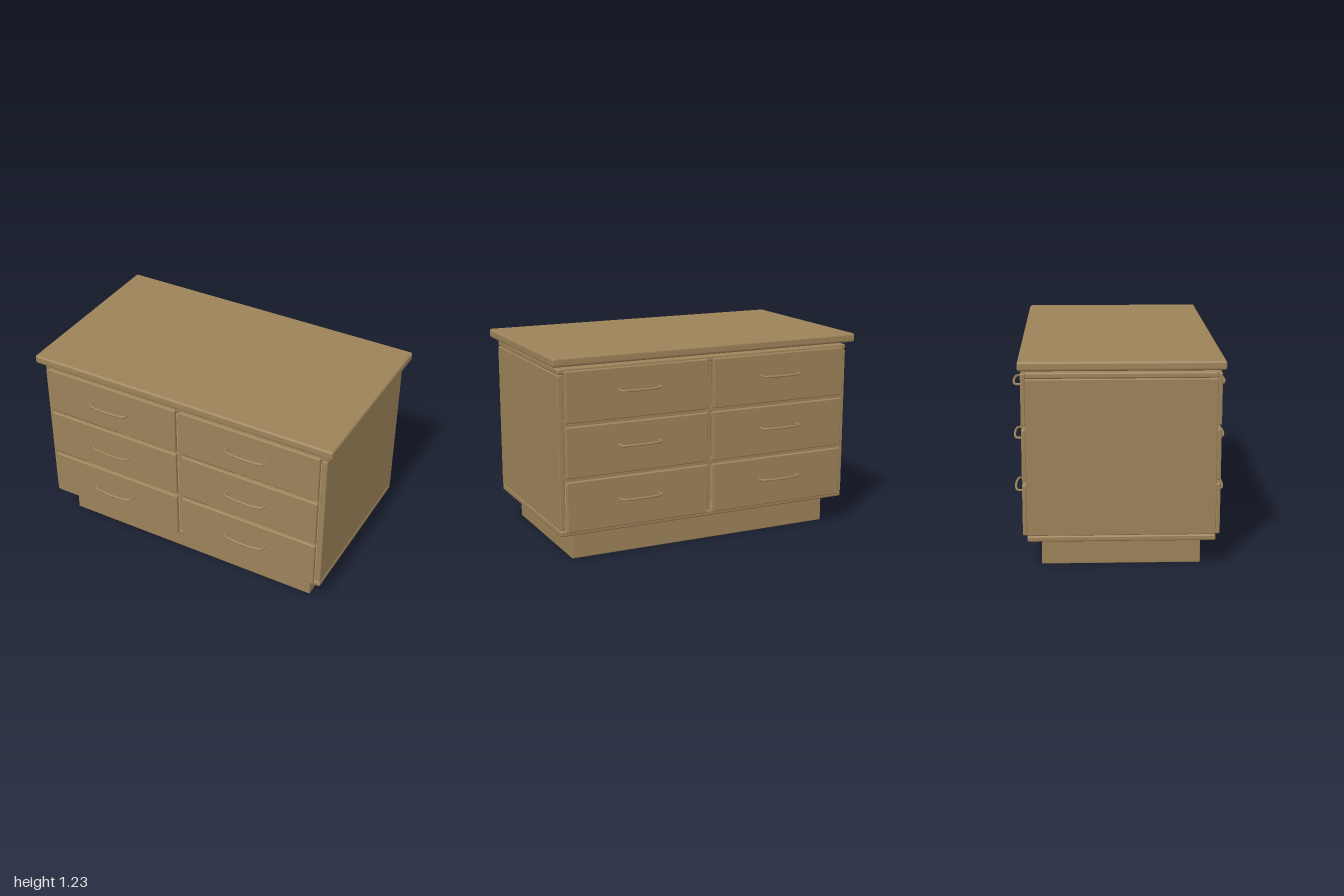
import * as THREE from 'three';
import { RoundedBoxGeometry } from 'three/addons/geometries/RoundedBoxGeometry.js';

export function createModel() {
  const model = new THREE.Group();
  model.name = 'drawerIsland';
  const wood = new THREE.MeshStandardMaterial({ color: 0x9c8259 });
  wood.name = 'wood';

  const add = (name, geometry, parent = model) => {
    const mesh = new THREE.Mesh(geometry, wood);
    mesh.name = name;
    parent.add(mesh);
    return mesh;
  };

  // Board with softened edges, given by its limits on each axis
  const board = (name, [x0, x1], [y0, y1], [z0, z1], radius = 0.006, parent = model) => {
    const geometry = new RoundedBoxGeometry(x1 - x0, y1 - y0, z1 - z0, 3, radius);
    geometry.translate((x0 + x1) / 2, (y0 + y1) / 2, (z0 + z1) / 2);
    return add(name, geometry, parent);
  };

  // Plinth, carcass and the worktop raised just above it
  const depth = [-0.54, 0.54];
  board('plinth', [-0.86, 0.86], [0, 0.167], [-0.462, 0.462]);
  board('bottomPanel', [-0.957, 0.957], [0.17, 0.205], depth, 0.01);
  board('leftPanel', [0.924, 0.957], [0.207, 1.123], depth);
  board('rightPanel', [-0.957, -0.924], [0.207, 1.123], depth);
  board('centreDivider', [-0.016, 0.016], [0.207, 1.123], depth);
  board('topPanel', [-0.957, 0.957], [1.125, 1.16], depth, 0.01);
  board('worktop', [-1, 1], [1.176, 1.231], [-0.58, 0.58], 0.015);

  // Bowed pull: two short legs joined by a shallow arc
  const pullPath = new THREE.CatmullRomCurve3([
    [-0.128, 0.565], [-0.128, 0.598], [-0.118, 0.611], [-0.07, 0.621], [0, 0.624],
    [0.07, 0.621], [0.118, 0.611], [0.128, 0.598], [0.128, 0.565],
  ].map(([x, z]) => new THREE.Vector3(x, 0, z)));
  const pullGeometry = new THREE.TubeGeometry(pullPath, 48, 0.007, 10);

  // The same bank of six drawers on the front and the back
  for (const [face, turn] of [['front', 0], ['back', Math.PI]]) {
    const bank = new THREE.Group();
    bank.name = face + 'Drawers';
    bank.rotation.y = turn;
    model.add(bank);
    for (const side of [-1, 1]) {
      const span = [0.018, 0.922].map((x) => x * side).sort((a, b) => a - b);
      for (let row = 0; row < 3; row++) {
        const y = 0.198 + row * 0.3235;
        board('drawerFront', span, [y, y + 0.302], [0.541, 0.567], 0.007, bank);
        const pull = add('drawerPull', pullGeometry, bank);
        pull.position.set(0.468 * side, y + 0.171, 0);
        // Rail closing the gap below the upper drawers
        if (row > 0) board('rail', span, [y - 0.03, y + 0.01], [0.5, 0.535], 0.004, bank);
      }
    }
  }
  return model;
}
